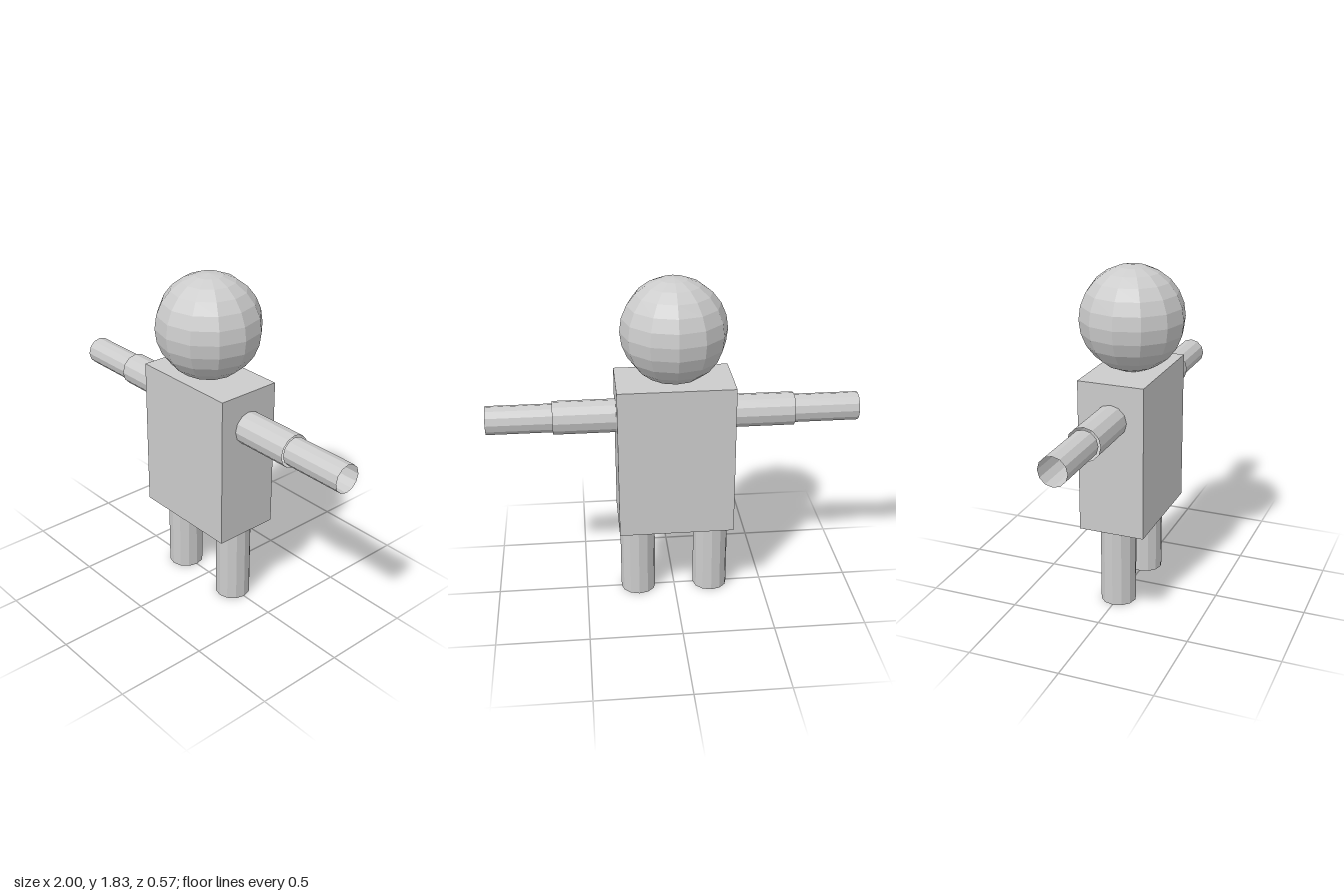
import * as THREE from 'three';

export function createModel() {
  const model = new THREE.Group();
  const solid = new THREE.MeshStandardMaterial({ color: 0xcccccc, flatShading: true });
  const open = new THREE.MeshStandardMaterial({ color: 0xcccccc, flatShading: true, side: THREE.DoubleSide });

  function add(name, geometry, material, x, y, z = 0) {
    const mesh = new THREE.Mesh(geometry, material);
    mesh.name = name;
    mesh.position.set(x, y, z);
    model.add(mesh);
    return mesh;
  }

  // Twelve-sided tube without end caps
  const tube = (radius, length) => new THREE.CylinderGeometry(radius, radius, length, 12, 1, true);

  add('torso', new THREE.BoxGeometry(0.625, 0.84, 0.363), solid, 0, 0.86);
  add('head', new THREE.SphereGeometry(0.283, 12, 12), solid, 0, 1.55);

  // Mirrored limbs
  for (const [side, s] of [['left', 1], ['right', -1]]) {
    // Arm sections lie along x, the forearm slightly thinner
    for (const [part, radius, from, to] of [['UpperArm', 0.09, 0.31, 0.648], ['Forearm', 0.077, 0.645, 1]]) {
      const arm = add(side + part, tube(radius, to - from), open, s * (from + to) / 2, 1.081);
      arm.rotation.z = -s * Math.PI / 2;
    }
    add(side + 'Leg', tube(0.097, 0.445), open, s * 0.206, 0.2225);
  }

  return model;
}
